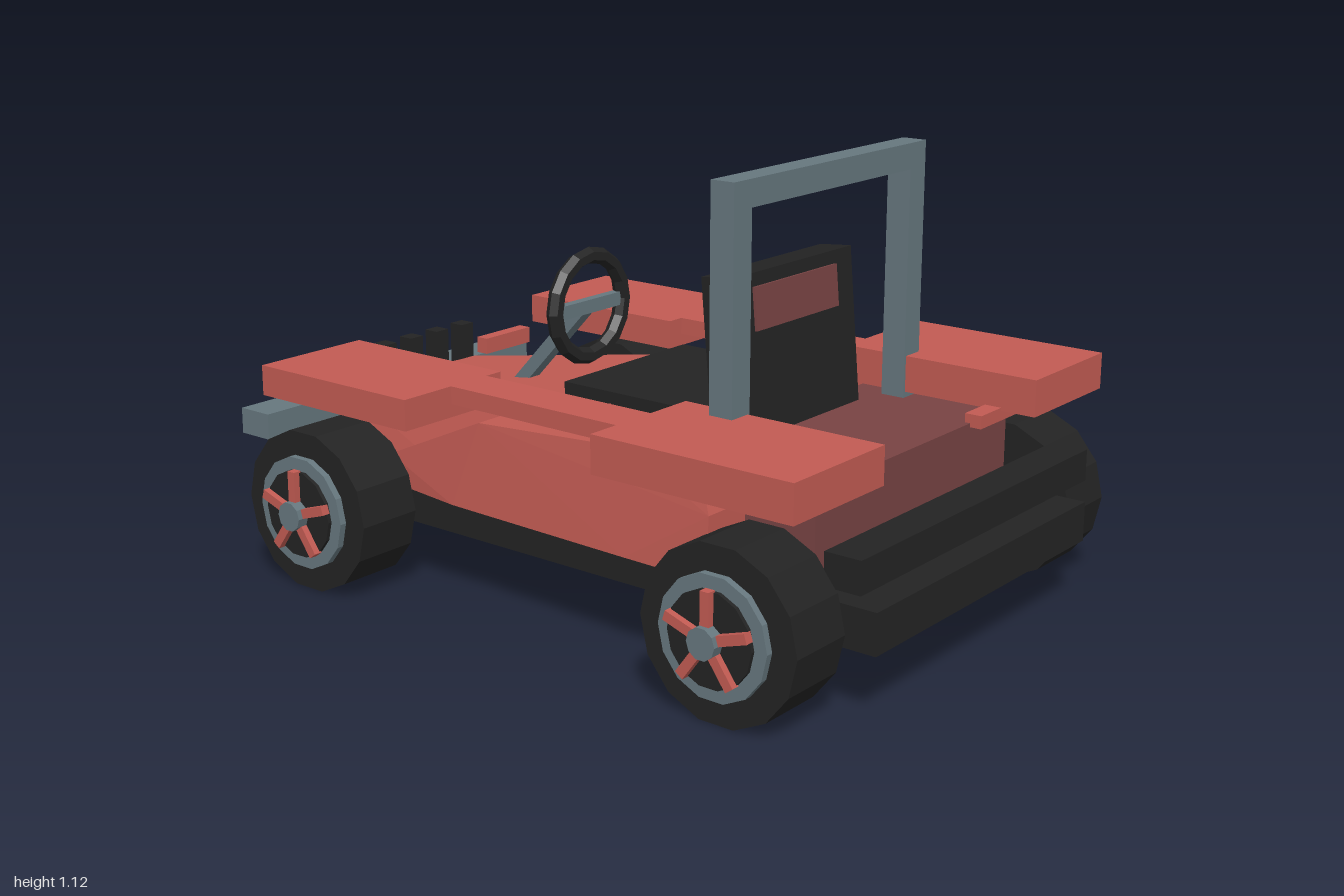
import * as THREE from 'three';
import { ConvexGeometry } from 'three/addons/geometries/ConvexGeometry.js';

const paint = (name, color) => {
  const m = new THREE.MeshStandardMaterial({ color, flatShading: true });
  m.name = name;
  return m;
};

export function createModel() {
  const red = paint('red', 0xc25b53);
  const darkRed = paint('dark red', 0x784343);
  const black = paint('black', 0x232323);
  const steel = paint('steel', 0x66777e);
  const car = new THREE.Group();
  car.name = 'buggy';

  const add = (name, geometry, material, parent = car) => {
    const mesh = new THREE.Mesh(geometry, material);
    mesh.name = name;
    parent.add(mesh);
    return mesh;
  };
  // box given by its limits on each axis
  const box = (name, material, [x0, x1], [y0, y1], [z0, z1], parent = car) => {
    const mesh = add(name, new THREE.BoxGeometry(x1 - x0, y1 - y0, z1 - z0), material, parent);
    mesh.position.set((x0 + x1) / 2, (y0 + y1) / 2, (z0 + z1) / 2);
    return mesh;
  };
  // the same box on both sides
  const pair = (name, material, [x0, x1], y, z) => {
    box(name + 'Left', material, [x0, x1], y, z);
    box(name + 'Right', material, [-x1, -x0], y, z);
  };
  // solid hull around points
  const hull = (name, material, points) =>
    add(name, new ConvexGeometry(points.map((p) => new THREE.Vector3(...p))), material);

  // chassis and bumpers
  box('chassis', black, [-0.47, 0.47], [0.166, 0.267], [-0.83, 1]);
  box('rearBumper', black, [-0.505, 0.505], [0.31, 0.39], [0.885, 0.98]);
  box('frontBumper', steel, [-0.51, 0.51], [0.295, 0.365], [-1, -0.895]);

  // hood: narrow sloping nose, wide cowl
  const hood = [];
  for (const s of [-1, 1]) {
    hood.push([s * 0.38, 0.51, 0.07], [s * 0.4, 0.42, 0.17], [s * 0.4, 0.2, 0.17]);
    hood.push([s * 0.215, 0.39, -0.83], [s * 0.215, 0.37, -0.89]);
    hood.push([s * 0.26, 0.19, -0.96], [s * 0.26, 0.19, -0.82], [s * 0.43, 0.25, -0.2]);
  }
  hull('hood', red, hood);

  // side pods, leaning slightly outward at the bottom
  const podProfile = [ // z, y, outer x
    [0.61, 0.42, 0.55], [0.57, 0.515, 0.53], [0.36, 0.522, 0.525], [-0.12, 0.487, 0.51],
    [-0.45, 0.34, 0.49], [-0.45, 0.265, 0.49], [-0.2, 0.265, 0.525], [0.37, 0.27, 0.555], [0.61, 0.27, 0.56],
  ];
  for (const s of [-1, 1]) {
    hull(s > 0 ? 'sidePodLeft' : 'sidePodRight', red,
      podProfile.flatMap(([z, y, x]) => [[s * x, y, z], [s * 0.38, y, z]]));
  }
  pair('sideRail', red, [0.39, 0.515], [0.52, 0.565], [-0.22, 0.4]);

  // tub
  box('floor', darkRed, [-0.39, 0.39], [0.26, 0.42], [0.1, 0.45]);
  box('rearDeck', darkRed, [-0.415, 0.415], [0.26, 0.485], [0.4, 0.8]);

  // fenders and lamps
  pair('rearFender', red, [0.335, 0.675], [0.5, 0.593], [0.377, 0.922]);
  pair('frontFender', red, [0.34, 0.672], [0.487, 0.565], [-0.715, -0.205]);
  pair('rearLamp', red, [0.24, 0.455], [0.475, 0.508], [0.785, 0.83]);
  pair('frontLamp', red, [0.21, 0.392], [0.405, 0.45], [-0.812, -0.775]);

  // grille slats
  for (let i = -2; i <= 2; i++) {
    const x = i * 0.102;
    box('grilleSlat', black, [x - 0.023, x + 0.023], [0.34, 0.485], [-0.89, -0.845]);
  }

  // seat
  box('seatCushion', black, [-0.24, 0.24], [0.4, 0.54], [-0.08, 0.4]);
  const seatBack = new THREE.Group();
  seatBack.name = 'seatBack';
  seatBack.position.set(0, 0.68, 0.413);
  seatBack.rotation.x = -0.09;
  car.add(seatBack);
  box('backrest', black, [-0.245, 0.245], [-0.2, 0.193], [-0.045, 0.045], seatBack);
  box('headrestPatch', darkRed, [-0.17, 0.17], [0.055, 0.16], [-0.052, 0.052], seatBack);

  // roll bar
  pair('rollBarPost', steel, [0.328, 0.395], [0.48, 1.07], [0.49, 0.555]);
  box('rollBarTop', steel, [-0.395, 0.395], [1.067, 1.132], [0.49, 0.555]);

  // steering
  const wheelY = 0.672;
  add('steeringWheel', new THREE.TorusGeometry(0.134, 0.022, 6, 16), black).position.set(0, wheelY, -0.205);
  box('steeringSpoke', steel, [-0.125, 0.125], [wheelY - 0.018, wheelY + 0.018], [-0.22, -0.195]);
  const top = new THREE.Vector3(0, 0.675, -0.21);
  const end = new THREE.Vector3(0, 0.42, -0.45);
  const column = add('steeringColumn', new THREE.BoxGeometry(0.04, 0.035, top.distanceTo(end)), steel);
  column.position.copy(top).add(end).multiplyScalar(0.5);
  column.lookAt(top);

  // wheels: disc parts lie along x, outward is +x
  const disc = (name, material, r, x0, x1, sides, parent) => {
    const g = new THREE.CylinderGeometry(r, r, x1 - x0, sides).rotateZ(-Math.PI / 2);
    g.translate((x0 + x1) / 2, 0, 0);
    return add(name, g, material, parent);
  };
  for (const [end, z] of [['front', -0.563], ['rear', 0.732]]) {
    const axle = disc(end + 'Axle', steel, 0.028, -0.52, 0.52, 10, car);
    axle.position.set(0, 0.214, z);
    for (const s of [-1, 1]) {
      const wheel = new THREE.Group();
      wheel.name = end + (s > 0 ? 'WheelLeft' : 'WheelRight');
      wheel.position.set(0, 0.212, z);
      if (s < 0) wheel.rotation.y = Math.PI;
      car.add(wheel);
      disc('tyre', black, 0.21, 0.503, 0.68, 14, wheel);
      disc('rim', steel, 0.146, 0.67, 0.698, 14, wheel);
      disc('rimWell', black, 0.113, 0.67, 0.708, 14, wheel);
      disc('hub', steel, 0.038, 0.69, 0.738, 10, wheel);
      for (let i = 0; i < 5; i++) {
        const g = new THREE.BoxGeometry(0.022, 0.085, 0.024).translate(0.714, 0.072, 0);
        add('spoke', g.rotateX((i * Math.PI * 2) / 5), red, wheel);
      }
    }
  }
  return car;
}
